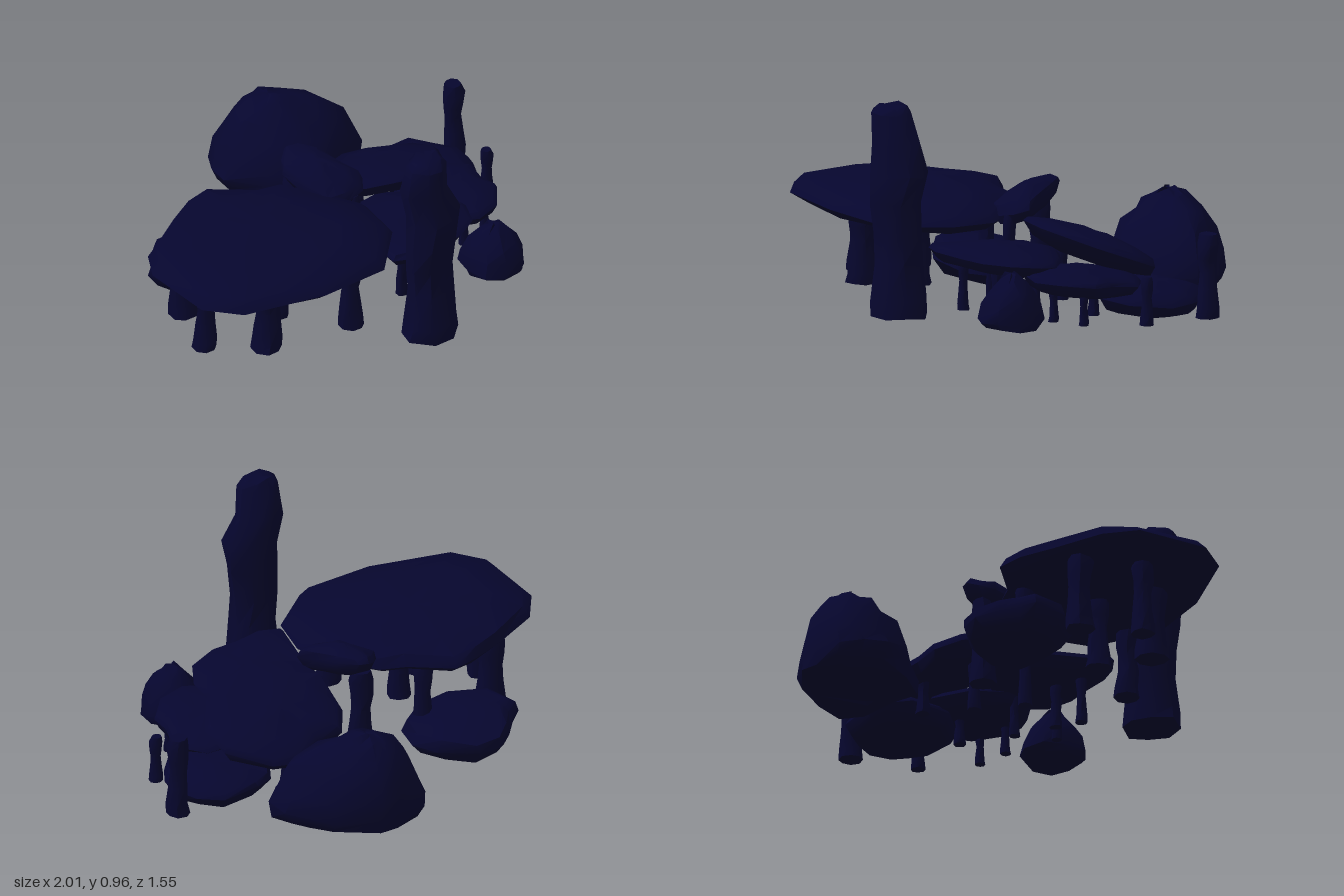
import * as THREE from 'three';
import { toCreasedNormals } from 'three/addons/utils/BufferGeometryUtils.js';

const stone = new THREE.MeshStandardMaterial({ color: 0x06062e });

// Small seeded noise in -1..1
let seed = 7;
const rand = () => {
  seed = (seed * 16807) % 2147483647;
  return (seed / 2147483647) * 2 - 1;
};

// Slightly irregular oval outline
function oval(cx, cz, rx, rz, sides, rough = 0.05) {
  return Array.from({ length: sides }, (_, i) => {
    const a = (i / sides) * Math.PI * 2, r = 1 + rough * rand();
    return [cx + Math.cos(a) * rx * r, cz + Math.sin(a) * rz * r];
  });
}

// Rock lofted from an [x, z] outline; rings are [y, scale, shiftX, shiftZ]
// and the whole body follows a plane sloping by slopeX and slopeZ.
function rock(name, outline, rings, { slopeX = 0, slopeZ = 0, rough = 0.006 } = {}) {
  const n = outline.length;
  const cx = outline.reduce((s, p) => s + p[0], 0) / n;
  const cz = outline.reduce((s, p) => s + p[1], 0) / n;
  const area = outline.reduce((s, p, i) => {
    const q = outline[(i + 1) % n];
    return s + p[0] * q[1] - q[0] * p[1];
  }, 0);
  const loop = area < 0 ? [...outline].reverse() : outline;
  const verts = [], index = [];
  const add = (x, y, z) => verts.push(x, y + (x - cx) * slopeX + (z - cz) * slopeZ, z);
  for (const [y, s, dx = 0, dz = 0] of rings) {
    for (const [x, z] of loop) {
      add(cx + (x - cx) * s + dx + rough * rand(), y + rough * rand(), cz + (z - cz) * s + dz + rough * rand());
    }
  }
  const first = rings[0], last = rings[rings.length - 1];
  add(cx + (first[2] || 0), first[0], cz + (first[3] || 0));
  add(cx + (last[2] || 0), last[0], cz + (last[3] || 0));
  const bottom = rings.length * n, top = bottom + 1, lastRow = bottom - n;
  for (let i = 0; i < n; i++) {
    const j = (i + 1) % n;
    for (let r = 0; r < rings.length - 1; r++) {
      const a = r * n + i, b = r * n + j;
      index.push(a, a + n, b, b, a + n, b + n);
    }
    index.push(bottom, i, j, top, lastRow + j, lastRow + i);
  }
  const geo = new THREE.BufferGeometry();
  geo.setAttribute('position', new THREE.Float32BufferAttribute(verts, 3));
  geo.setIndex(index);
  const mesh = new THREE.Mesh(toCreasedNormals(geo, 0.9), stone);
  mesh.name = name;
  return mesh;
}

// Flat slab with a thin rim, a shallow belly and a gently domed top
function slab(name, outline, y, down, up, slopes) {
  return rock(name, outline, [
    [y - down, 0.65], [y - down * 0.7, 0.88], [y, 1],
    [y + up * 0.42, 0.93], [y + up * 0.72, 0.62], [y + up, 0.2],
  ], slopes);
}

// Slim standing stone with flared foot and head
function pillar(name, x, z, radius, top) {
  const y0 = 0.065, h = top - y0;
  const rings = [[0, 1], [0.12, 0.95], [0.35, 0.8], [0.55, 0.7], [0.7, 0.82], [0.88, 0.92], [1, 0.7]]
    .map(([t, s]) => [y0 + h * t, s, radius * 0.08 * rand(), radius * 0.08 * rand()]);
  return rock(name, oval(x, z, radius, radius, 8), rings, { rough: radius * 0.05 });
}

export function createModel() {
  const group = new THREE.Group();
  group.name = 'rockFormation';

  // Large table slab
  group.add(slab('largeSlab', [
    [-1, 0.11], [-0.92, -0.2], [-0.81, -0.31], [-0.58, -0.37], [-0.42, -0.4], [-0.3, -0.39], [-0.17, -0.22],
    [-0.07, -0.16], [-0.01, 0], [0.04, 0.21], [-0.05, 0.4], [-0.29, 0.52], [-0.61, 0.46], [-0.93, 0.26],
  ], 0.415, 0.05, 0.1, { slopeX: -0.04 }));

  // Small slab leaning across the gap
  group.add(slab('leaningSlab', [
    [-0.05, -0.17], [0, -0.21], [0.05, -0.23], [0.1, -0.21], [0.13, -0.12], [0.13, 0],
    [0.14, 0.1], [0.09, 0.14], [0, 0.13], [-0.06, 0.07], [-0.07, -0.05],
  ], 0.462, 0.06, 0.07, { slopeX: 0.18, slopeZ: -0.23 }));

  // Descending steps of slabs
  group.add(slab('upperStepSlab', [
    [0.15, -0.17], [0.23, -0.25], [0.35, -0.22], [0.47, -0.25], [0.58, -0.19], [0.69, -0.02],
    [0.67, 0.11], [0.55, 0.23], [0.3, 0.25], [0.13, 0.13], [0.1, 0],
  ], 0.3, 0.065, 0.065, { slopeX: -0.2, slopeZ: 0.33 }));
  group.add(slab('frontStepSlab', [
    [-0.13, 0.46], [-0.05, 0.52], [0.08, 0.53], [0.2, 0.56], [0.33, 0.53], [0.41, 0.43], [0.43, 0.35],
    [0.38, 0.22], [0.28, 0.08], [0.1, 0.04], [0, 0.16],
  ], 0.297, 0.05, 0.055, { slopeX: -0.06, slopeZ: 0.06 }));
  group.add(slab('lowerStepSlab', [
    [0.3, 0.4], [0.42, 0.5], [0.54, 0.51], [0.67, 0.42], [0.69, 0.33], [0.75, 0.22],
    [0.68, 0.08], [0.52, 0.03], [0.36, 0.1], [0.27, 0.25],
  ], 0.23, 0.055, 0.05, { slopeX: -0.06, slopeZ: 0.05 }));
  group.add(slab('lowestSlab', [
    [0.5, -0.1], [0.58, -0.18], [0.67, -0.2], [0.83, -0.17], [0.88, -0.06], [0.91, 0.05],
    [0.87, 0.14], [0.82, 0.21], [0.74, 0.26], [0.58, 0.25], [0.48, 0.1],
  ], 0.14, 0.065, 0.065, { slopeX: -0.09 }));

  // Tall standing stone at the front
  group.add(rock('tallStone', oval(-0.145, 0.655, 0.13, 0.118, 8, 0.03), [
    [0.07, 1], [0.14, 0.93], [0.3, 0.78], [0.42, 0.8, -0.01], [0.55, 0.88, -0.01, 0.01],
    [0.67, 0.98, 0.005, 0.005], [0.8, 0.82, -0.025, -0.015], [0.93, 0.68, -0.03, 0.005], [0.96, 0.5, -0.035, 0.005],
  ], { rough: 0.009 }));

  // Rounded boulder at the back
  group.add(rock('largeBoulder', [
    [0.15, -0.6], [0.2, -0.7], [0.27, -0.77], [0.4, -0.78], [0.5, -0.76], [0.65, -0.63], [0.74, -0.44],
    [0.72, -0.3], [0.62, -0.25], [0.42, -0.24], [0.31, -0.26], [0.2, -0.42],
  ], [
    [0.015, 0.15, -0.03, 0.08], [0.04, 0.65, 0, 0.02], [0.075, 0.93], [0.14, 1], [0.21, 0.93, 0, -0.01],
    [0.31, 0.78, 0, -0.02], [0.38, 0.54, -0.01, -0.035], [0.425, 0.29, -0.02, -0.05], [0.45, 0.1, -0.02, -0.06],
  ], { rough: 0.013 }));

  // Low rock behind the large slab
  group.add(rock('lowRock', [
    [-0.59, -0.47], [-0.52, -0.5], [-0.45, -0.57], [-0.36, -0.6], [-0.25, -0.57], [-0.16, -0.43],
    [-0.13, -0.3], [-0.18, -0.18], [-0.32, -0.13], [-0.48, -0.16], [-0.58, -0.3],
  ], [[0.025, 0.5], [0.05, 0.8], [0.1, 1], [0.15, 0.92], [0.18, 0.55, -0.04]],
  { slopeX: -0.12, rough: 0.01 }));

  // Pointed rock at the front
  group.add(rock('smallBoulder', oval(0.375, 0.605, 0.133, 0.143, 9, 0.04), [
    [0.07, 0.85], [0.1, 1], [0.16, 0.95], [0.22, 0.74], [0.27, 0.42], [0.3, 0.14],
  ], { rough: 0.01 }));

  // Supports under the large slab: x, z, radius, top
  for (const [x, z, r, top] of [
    [-0.78, -0.04, 0.052, 0.41], [-0.63, 0.17, 0.07, 0.41], [-0.63, -0.26, 0.065, 0.41], [-0.415, 0.07, 0.052, 0.4],
    [-0.3, 0.36, 0.055, 0.4], [-0.27, -0.22, 0.045, 0.4], [0.03, -0.16, 0.055, 0.44],
  ]) group.add(pillar('slabSupport', x, z, r, top));

  // Slim supports under the steps
  for (const [x, z, r, top] of [
    [0.01, 0.4, 0.026, 0.29], [0.12, 0.36, 0.026, 0.28], [0.2, 0.45, 0.022, 0.28], [0.06, 0.12, 0.03, 0.42],
    [0.24, 0.0, 0.03, 0.3], [0.3, 0.3, 0.024, 0.28], [0.42, -0.12, 0.03, 0.24], [0.52, 0.2, 0.026, 0.22],
    [0.6, 0.4, 0.022, 0.21], [0.45, 0.4, 0.022, 0.22],
  ]) group.add(pillar('stepSupport', x, z, r, top));

  // Free-standing pillars on the left
  group.add(pillar('outerPillar', 0.95, -0.01, 0.05, 0.42));
  group.add(pillar('smallPillar', 0.817, 0.255, 0.03, 0.27));
  return group;
}
